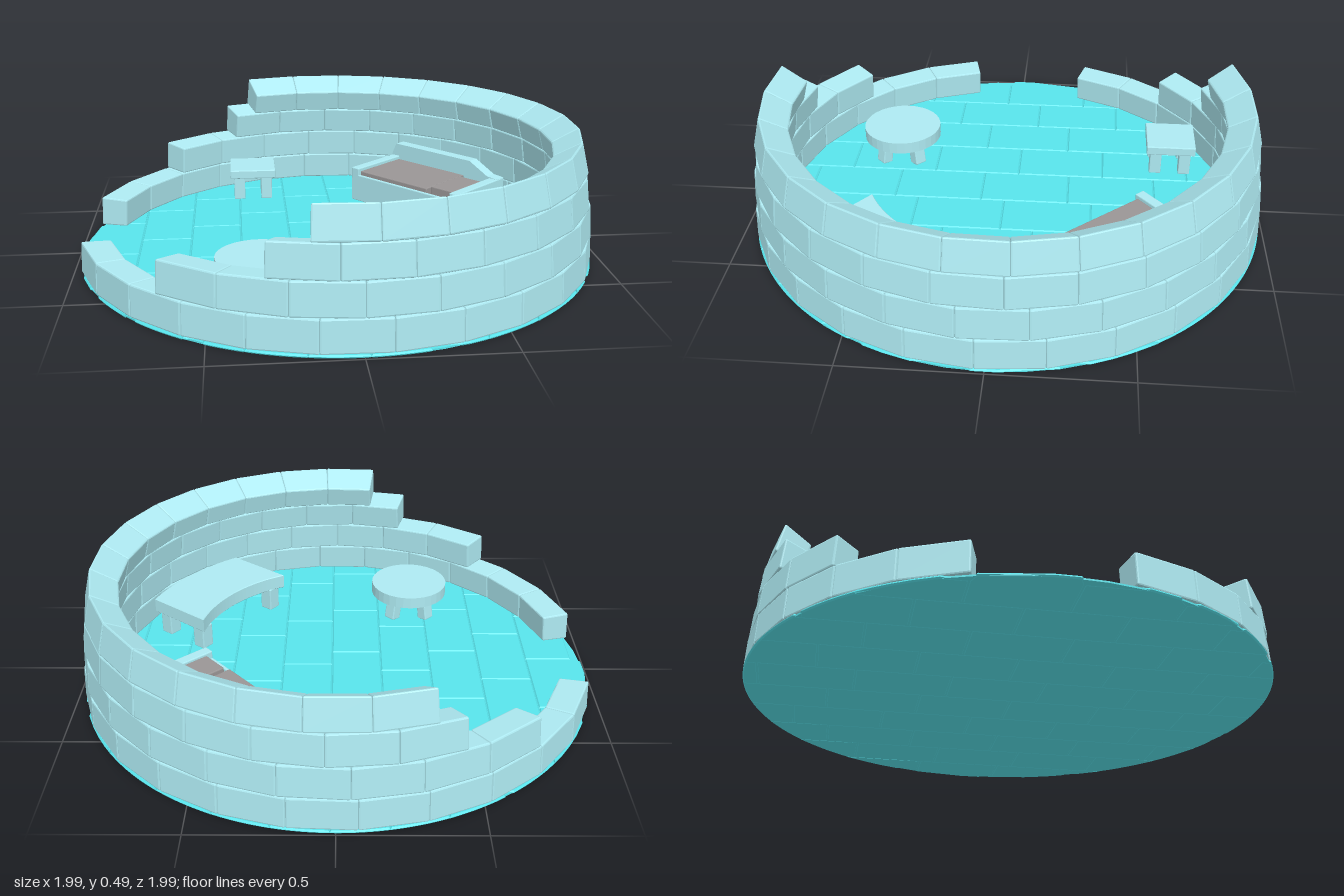
import * as THREE from 'three';
import { RoundedBoxGeometry } from 'three/addons/geometries/RoundedBoxGeometry.js';

const ice = new THREE.MeshStandardMaterial({ color: 0xaeeaf2, flatShading: true });
const floorIce = new THREE.MeshStandardMaterial({ color: 0x58e4ec, flatShading: true });
const fabric = new THREE.MeshStandardMaterial({ color: 0x9a9696, flatShading: true });
const FLOOR = 0.012;
const RIM = 0.995;

function mesh(name, geometry, material, parent) {
  const m = new THREE.Mesh(geometry, material);
  m.name = name;
  parent.add(m);
  return m;
}

// Box given by its spans on each axis, with slightly bevelled edges
function block(name, [x0, x1], [y0, y1], [z0, z1], material, parent, bevel = 0.004) {
  const g = new RoundedBoxGeometry(x1 - x0, y1 - y0, z1 - z0, 1, bevel);
  g.translate((x0 + x1) / 2, (y0 + y1) / 2, (z0 + z1) / 2);
  return mesh(name, g, material, parent);
}

// Shape drawn in plan (x, -z), raised from y0 to y1
function slab(shape, y0, y1, bevel) {
  const g = new THREE.ExtrudeGeometry(shape, {
    depth: y1 - y0 - 2 * bevel, bevelThickness: bevel, bevelSize: bevel,
    bevelOffset: -bevel, bevelSegments: 1, curveSegments: 12,
  });
  g.rotateX(-Math.PI / 2);
  g.translate(0, y0 + bevel, 0);
  return g;
}

// Floor of staggered slabs cut to a circle
function buildFloor(parent) {
  const floor = new THREE.Group();
  floor.name = 'floor';
  parent.add(floor);
  const starts = [0.06, -0.09, 0.12, -0.03, 0.11, 0.015, -0.11, 0.03, -0.19, 0.1];
  const pitch = 0.1975, length = 0.35, samples = 6;
  starts.forEach((start, c) => {
    const x0 = c === 0 ? -0.994 : -0.968 + c * pitch;
    const x1 = c === 9 ? 0.994 : -0.968 + (c + 1) * pitch;
    for (let k = -4; k <= 4; k++) {
      const z0 = start + k * length, z1 = z0 + length;
      const near = [], far = [];
      for (let i = 0; i <= samples; i++) {
        const x = x0 + (x1 - x0) * i / samples;
        const reach = Math.sqrt(RIM * RIM - x * x);
        const lo = Math.max(z0, -reach), hi = Math.min(z1, reach);
        if (hi - lo < 0.025) continue;
        near.push(new THREE.Vector2(x, -hi));
        far.unshift(new THREE.Vector2(x, -lo));
      }
      if (near.length < 2) continue;
      mesh('floorSlab', slab(new THREE.Shape([...near, ...far]), 0, FLOOR, 0.005), floorIce, floor);
    }
  });
  const base = mesh('floorBase', new THREE.CylinderGeometry(0.99, 0.99, 0.006, 48), floorIce, floor);
  base.position.y = 0.0045;
}

// Flat-sided brick filling one angular cell between two joints of the wall
function brick(a0, a1, lower, upper) {
  const w = 0.23, h = 0.12, d = 0.11;
  const g = new RoundedBoxGeometry(w, h, d, 1, 0.006);
  const p = g.attributes.position;
  const lerp = THREE.MathUtils.lerp;
  for (let i = 0; i < p.count; i++) {
    const u = p.getX(i) / w + 0.5, v = p.getY(i) / h + 0.5, t = p.getZ(i) / d + 0.5;
    const r = lerp(lerp(lower.ro, upper.ro, v), lerp(lower.ri, upper.ri, v), t);
    const y = lerp(lerp(lower.yo, upper.yo, v), lerp(lower.yi, upper.yi, v), t);
    p.setXYZ(i, r * lerp(Math.cos(a0), Math.cos(a1), u), y, r * lerp(Math.sin(a0), Math.sin(a1), u));
  }
  g.computeVertexNormals();
  return g;
}

// Four courses of bricks leaning inward, stepping back from the doorway
function buildWall(parent) {
  const joints = [
    { ro: 0.996, yo: 0.012, ri: 0.888, yi: 0.012 },
    { ro: 0.99, yo: 0.132, ri: 0.88, yi: 0.125 },
    { ro: 0.98, yo: 0.253, ri: 0.872, yi: 0.24 },
    { ro: 0.966, yo: 0.375, ri: 0.856, yi: 0.347 },
    { ro: 0.937, yo: 0.495, ri: 0.832, yi: 0.435 },
  ];
  const courses = [
    { back: 17, front: 13, count: 24 },
    { back: 45, front: 48, count: 19 },
    { back: 64, front: 71.5, count: 16 },
    { back: 70, front: 80, count: 16 },
  ];
  courses.forEach(({ back, front, count }, row) => {
    const course = new THREE.Group();
    course.name = 'wallCourse' + (row + 1);
    parent.add(course);
    const from = THREE.MathUtils.degToRad(180 + back);
    const step = THREE.MathUtils.degToRad(360 - back - front) / count;
    for (let i = 0; i < count; i++) {
      mesh('brick', brick(from + i * step, from + (i + 1) * step, joints[row], joints[row + 1]), ice, course);
    }
  });
}

function group(name, x, z, turn, parent) {
  const g = new THREE.Group();
  g.name = name;
  g.position.set(x, 0, z);
  g.rotation.y = turn;
  parent.add(g);
  return g;
}

function buildStool(parent) {
  const stool = group('stool', -0.315, -0.66, 0, parent);
  block('seat', [-0.1, 0.1], [0.11, 0.148], [-0.1, 0.1], ice, stool);
  for (const x of [-0.06, 0.06]) for (const z of [-0.06, 0.06]) {
    block('stoolLeg', [x - 0.024, x + 0.024], [FLOOR - 0.002, 0.114], [z - 0.024, z + 0.024], ice, stool);
  }
}

function buildRoundTable(parent) {
  const table = group('roundTable', -0.312, 0.475, 0, parent);
  const top = mesh('tableTop', new THREE.CylinderGeometry(0.16, 0.16, 0.048, 32), ice, table);
  top.position.y = 0.128;
  for (let i = 0; i < 4; i++) {
    const pivot = new THREE.Group();
    pivot.rotation.y = Math.PI / 4 + i * Math.PI / 2;
    table.add(pivot);
    const leg = mesh('tableLeg', new RoundedBoxGeometry(0.045, 0.1, 0.05, 1, 0.004), ice, pivot);
    leg.position.set(0.095, 0.06, 0);
    leg.rotation.z = 0.15;
  }
}

// Curved bench following the wall; its local x points outward
function buildBench(parent) {
  const bench = group('curvedBench', 0, 0, -THREE.MathUtils.degToRad(38), parent);
  const inner = 0.555, outer = 0.82, half = 0.25;
  const a = Math.asin(half / inner), b = Math.asin(half / outer);
  const shape = new THREE.Shape();
  shape.absarc(0, 0, outer, -b, b, false);
  shape.absarc(0, 0, inner, a, -a, true);
  mesh('benchTop', slab(shape, 0.105, 0.165, 0.003), ice, bench);
  for (const side of [-1, 1]) for (const x of [0.545, 0.735]) {
    const z = side * 0.21;
    block('benchLeg', [x - 0.028, x + 0.028], [FLOOR - 0.002, 0.11], [z - 0.028, z + 0.028], ice, bench);
  }
}

// Bed with its length along local x and its back board at local -z
function buildBed(parent) {
  const bed = group('bed', 0.445, -0.42, -THREE.MathUtils.degToRad(48.5), parent);
  const base = FLOOR - 0.002;
  block('bedBase', [-0.285, 0.28], [base, 0.115], [-0.16, 0.16], ice, bed);
  block('footBoard', [-0.297, -0.256], [base, 0.16], [-0.166, 0.166], ice, bed);
  block('headBoard', [0.245, 0.288], [base, 0.16], [-0.166, 0.166], ice, bed);
  block('frontRail', [-0.27, 0.26], [base, 0.13], [0.152, 0.166], ice, bed);
  const outline = [[-0.296, base], [0.286, base], [0.286, 0.16], [0.235, 0.165], [0.14, 0.215], [-0.275, 0.215], [-0.296, 0.17]];
  const board = new THREE.ExtrudeGeometry(
    new THREE.Shape(outline.map(([x, y]) => new THREE.Vector2(x, y))), { depth: 0.05, bevelEnabled: false });
  mesh('backBoard', board, ice, bed).position.z = -0.167;
  block('mattress', [-0.256, 0.115], [0.1, 0.147], [-0.113, 0.152], fabric, bed);
  block('pillow', [0.125, 0.24], [0.1, 0.155], [-0.066, 0.134], fabric, bed);
}

export function createModel() {
  const model = new THREE.Group();
  model.name = 'iceHut';
  buildFloor(model);
  buildWall(model);
  buildStool(model);
  buildRoundTable(model);
  buildBench(model);
  buildBed(model);
  return model;
}
